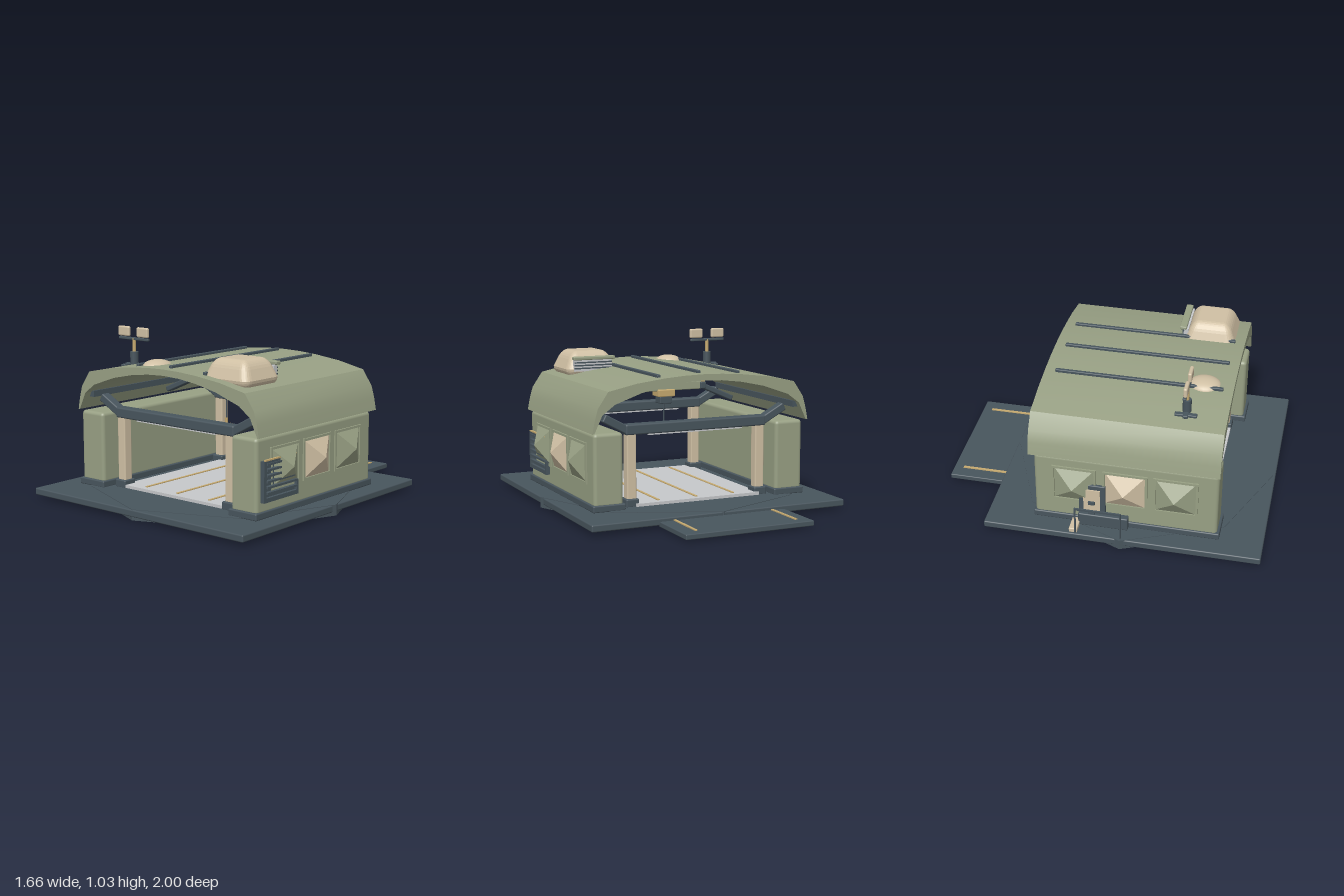
import * as THREE from 'three';
import { toCreasedNormals } from 'three/addons/utils/BufferGeometryUtils.js';
import { RoundedBoxGeometry } from 'three/addons/geometries/RoundedBoxGeometry.js';

const mat = (name, color, side = THREE.FrontSide) =>
  Object.assign(new THREE.MeshStandardMaterial({ color, side }), { name });

export function createModel() {
  const model = new THREE.Group();
  model.name = 'fieldHangar';
  const green = mat('sage green', 0x98a084);
  const dark = mat('slate', 0x48555d);
  const tan = mat('sand', 0xd0c0a4);
  const gold = mat('ochre', 0xc6aa70);
  const grey = mat('light grey', 0xc6c8ca);

  const add = (name, geo, m, x = 0, y = 0, z = 0) => {
    const mesh = new THREE.Mesh(geo, m);
    mesh.name = name;
    mesh.position.set(x, y, z);
    model.add(mesh);
    return mesh;
  };
  // box given by its limits on each axis, optionally rounded
  const box = (name, m, [x0, x1], [y0, y1], [z0, z1], r = 0) => {
    const s = [x1 - x0, y1 - y0, z1 - z0];
    const geo = r ? new RoundedBoxGeometry(...s, 3, r) : new THREE.BoxGeometry(...s);
    return add(name, geo, m, (x0 + x1) / 2, (y0 + y1) / 2, (z0 + z1) / 2);
  };
  // square bar between two points of a cross plane
  const bar = (name, m, x0, y0, x1, y1, z, t, d) => {
    const b = add(name, new RoundedBoxGeometry(Math.hypot(x1 - x0, y1 - y0), t, d, 2, 0.008), m,
      (x0 + x1) / 2, (y0 + y1) / 2, z);
    b.rotation.z = Math.atan2(y1 - y0, x1 - x0);
  };

  // base slab, octagonal pad and rear ramp
  box('baseSlab', dark, [-0.82, 0.82], [0.02, 0.062], [-0.66, 1], 0.008);
  const pad = new THREE.CylinderGeometry(0.83, 0.83, 0.065, 8);
  add('octagonPad', toCreasedNormals(pad, 0.3), dark, 0, 0.0325, 0.168);
  box('ramp', dark, [-0.405, 0.405], [0.01, 0.042], [-1, -0.64], 0.006);
  for (const x of [-0.32, 0.315]) box('rampRail', gold, [x - 0.008, x + 0.008], [0.04, 0.048], [-0.94, -0.66]);

  // bay floor with guide lines
  box('bayFloor', grey, [-0.41, 0.41], [0.06, 0.083], [-0.34, 0.66]);
  for (const x of [-0.25, 0, 0.25]) box('guideLine', gold, [x - 0.008, x + 0.008], [0.083, 0.088], [-0.3, 0.62]);

  // side walls with pyramid panels
  for (const s of [-1, 1]) {
    const span = (a, b) => (s > 0 ? [a, b] : [-b, -a]);
    box('sideWall', green, span(0.505, 0.69), [0.085, 0.52], [-0.37, 0.725], 0.022);
    box('wallFooting', dark, span(0.495, 0.7), [0.06, 0.102], [-0.38, 0.74], 0.008);
    [0.475, 0.175, -0.13].forEach((z, i) => {
      for (const e of [-1, 1]) {
        const zc = z + e * 0.126, yc = 0.333 + e * 0.115;
        box('panelFrame', green, span(0.685, 0.7), [0.21, 0.456], [zc - 0.007, zc + 0.007]);
        box('panelFrame', green, span(0.685, 0.7), [yc - 0.007, yc + 0.007], [z - 0.13, z + 0.13]);
      }
      const cone = new THREE.ConeGeometry(Math.SQRT1_2, 1, 4).rotateY(Math.PI / 4).toNonIndexed();
      cone.computeVertexNormals();
      cone.rotateZ(-s * Math.PI / 2).scale(0.07, 0.225, 0.24);
      add('pyramidPanel', cone, i === 1 ? tan : green, s * 0.724, 0.333, z);
    });
    // eave rail below the roof
    box('eaveRail', dark, span(0.625, 0.668), [0.6, 0.638], [-0.36, 0.68]);
  }

  // portal frames at the front and back of the bay
  for (const z of [0.62, -0.28]) {
    box('portalBeam', dark, [-0.465, 0.465], [0.49, 0.553], [z - 0.035, z + 0.035], 0.01);
    box('lightStrip', grey, [-0.31, 0.31], [0.48, 0.491], [z - 0.015, z + 0.015]);
    for (const s of [-1, 1]) {
      const x = s * 0.427;
      box('post', tan, [x - 0.03, x + 0.03], [0.1, 0.5], [z - 0.03, z + 0.03], 0.008);
      box('postFoot', dark, [x - 0.042, x + 0.042], [0.06, 0.11], [z - 0.045, z + 0.045], 0.008);
      bar('portalBrace', dark, s * 0.44, 0.513, s * 0.6, 0.6, z, 0.05, 0.06);
    }
  }

  // upper truss carrying the hoist
  box('trussBeam', green, [-0.25, 0.25], [0.675, 0.727], [0.14, 0.2], 0.006);
  for (const s of [-1, 1]) {
    bar('trussBrace', dark, s * 0.25, 0.7, s * 0.475, 0.602, 0.17, 0.034, 0.06);
    box('trussKnuckle', dark, [s * 0.26 - 0.02, s * 0.26 + 0.02], [0.677, 0.72], [0.13, 0.21], 0.006);
    box('trussHanger', gold, [s * 0.262 - 0.015, s * 0.262 + 0.015], [0.715, 0.79], [0.145, 0.195]);
  }
  box('hoistBody', gold, [-0.058, 0.058], [0.64, 0.685], [0.12, 0.22], 0.006);
  box('hoistDrum', dark, [-0.042, 0.042], [0.595, 0.642], [0.13, 0.21], 0.006);
  add('hoistCable', new THREE.CylinderGeometry(0.004, 0.004, 0.13, 8), dark, 0, 0.535, 0.17);
  const hook = new THREE.CatmullRomCurve3([[0, 0.475], [0.002, 0.44], [0.018, 0.424], [0.036, 0.432], [0.04, 0.447]]
    .map(([x, y]) => new THREE.Vector3(x, y, 0.17)));
  add('hook', new THREE.TubeGeometry(hook, 20, 0.009, 8), gold);

  // arched roof shell: outer profile, then inner profile back
  const half = [[0.71, 0.525], [0.695, 0.6], [0.675, 0.67], [0.61, 0.765], [0.43, 0.803], [0.25, 0.825], [0.12, 0.834], [0, 0.837]];
  const halfIn = [[0.698, 0.525], [0.648, 0.63], [0.57, 0.688], [0.4, 0.747], [0.25, 0.779], [0.12, 0.795], [0, 0.8]];
  const arch = (h) => [...h, ...h.slice(0, -1).reverse().map(([x, y]) => [-x, y])].map(([x, y]) => new THREE.Vector2(x, y));
  const shape = new THREE.Shape([...arch(half), ...arch(halfIn).reverse()]);
  const roof = new THREE.ExtrudeGeometry(shape, { depth: 1.13, bevelEnabled: false });
  add('roofShell', toCreasedNormals(roof, 0.45), green, 0, 0, -0.4);
  for (const [x, y] of [[-0.262, 0.832], [0, 0.845], [0.262, 0.832]]) {
    box('roofRib', dark, [x - 0.011, x + 0.011], [y - 0.014, y + 0.008], [-0.335, 0.67], 0.005);
  }

  // roof air unit: rounded box narrowed toward the top
  const unit = new RoundedBoxGeometry(0.33, 0.16, 0.31, 3, 0.05);
  const p = unit.attributes.position;
  for (let i = 0; i < p.count; i++) {
    const k = 1 - 0.28 * Math.max(0, (p.getY(i) + 0.03) / 0.11);
    p.setXYZ(i, p.getX(i) * k, p.getY(i), p.getZ(i) * k);
  }
  unit.computeVertexNormals();
  add('airUnit', unit, tan, 0.402, 0.842, 0.51);
  box('airGrille', grey, [0.28, 0.53], [0.8, 0.87], [0.345, 0.375]);
  for (let i = 0; i < 3; i++) box('grilleSlat', dark, [0.28, 0.53], [0.815 + i * 0.018, 0.823 + i * 0.018], [0.337, 0.35]);
  box('grilleHood', green, [0.265, 0.54], [0.872, 0.893], [0.322, 0.365], 0.006);

  // sensor dome
  const dome = add('sensorDome', new THREE.SphereGeometry(0.085, 24, 10, 0, Math.PI * 2, 0, Math.PI / 2), tan, -0.21, 0.813, 0.555);
  dome.scale.set(1, 0.52, 1.15);

  // light mast with twin lamps
  box('mastBase', dark, [-0.53, -0.42], [0.782, 0.802], [0.475, 0.505], 0.005);
  box('mastBase', dark, [-0.515, -0.485], [0.782, 0.8], [0.425, 0.555], 0.005);
  add('mastSleeve', new THREE.CylinderGeometry(0.026, 0.026, 0.085, 12), dark, -0.463, 0.832, 0.49);
  add('mastPole', new THREE.CylinderGeometry(0.011, 0.011, 0.09, 12), gold, -0.463, 0.912, 0.49);
  box('lampBar', dark, [-0.585, -0.342], [0.945, 0.961], [0.48, 0.5], 0.004);
  for (const x of [-0.54, -0.385]) {
    box('lamp', tan, [x - 0.046, x + 0.046], [0.965, 1.026], [0.482, 0.506], 0.01);
  }

  // louvred vent on the left wall
  box('ventPlate', dark, [0.69, 0.698], [0.155, 0.385], [0.38, 0.69]);
  for (const [y0, y1, z0, z1] of [[0.155, 0.18, 0.38, 0.69], [0.37, 0.39, 0.54, 0.69], [0.155, 0.385, 0.668, 0.69], [0.155, 0.24, 0.38, 0.395]]) {
    box('ventFrame', dark, [0.69, 0.716], [y0, y1], [z0, z1]);
  }
  for (let i = 0; i < 6; i++) {
    const y = 0.2 + i * 0.033;
    box('ventSlat', dark, [0.69, 0.722], [y, y + 0.012], [0.395 + (i > 1) * 0.02, 0.665]);
  }
  box('ventRail', gold, [0.705, 0.718], [0.39, 0.398], [0.4, 0.68]);

  // service panel, step and handrail on the right wall
  box('servicePanel', dark, [-0.708, -0.685], [0.11, 0.35], [-0.1, 0.06], 0.006);
  box('panelFace', tan, [-0.716, -0.708], [0.17, 0.32], [-0.07, 0.03]);
  for (const y of [0.14, 0.22]) box('panelSwitch', dark, [-0.728, -0.708], [y, y + 0.02], [-0.04, 0]);
  box('serviceLocker', dark, [-0.735, -0.69], [0.065, 0.15], [-0.1, 0.2], 0.008);
  box('step', tan, [-0.81, -0.7], [0.062, 0.092], [-0.14, -0.09], 0.006);
  for (const z of [-0.1, 0.17]) box('handrailPost', dark, [-0.815, -0.807], [0.06, 0.25], [z - 0.005, z + 0.005]);
  box('handrail', dark, [-0.816, -0.806], [0.24, 0.252], [-0.105, 0.175]);

  return model;
}
